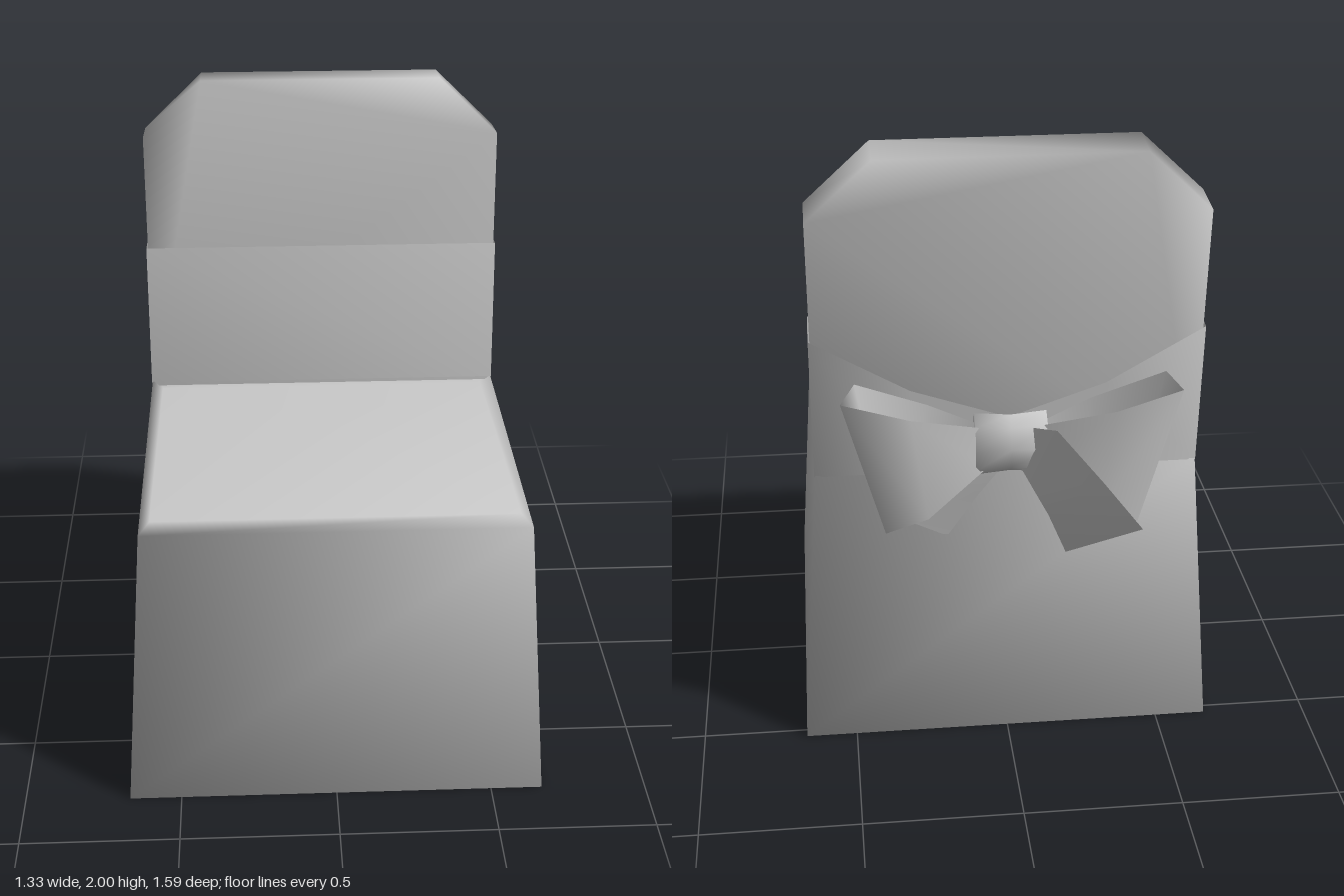
import * as THREE from 'three';
import { mergeVertices } from 'three/addons/utils/BufferGeometryUtils.js';

const solid = new THREE.MeshStandardMaterial({ color: 0xcccccc });
const cloth = new THREE.MeshStandardMaterial({ color: 0xcccccc, side: THREE.DoubleSide });

function build(points, index) {
  const g = new THREE.BufferGeometry();
  g.setAttribute('position', new THREE.Float32BufferAttribute(points.flat(), 3));
  g.setIndex(index);
  g.computeVertexNormals();
  return g;
}

// Cloth strip through pairs of [upper edge point, lower edge point]
function ribbon(pairs) {
  const index = [];
  for (let i = 0; i < pairs.length - 1; i++) {
    const a = 2 * i;
    index.push(a, a + 1, a + 2, a + 1, a + 3, a + 2);
  }
  return build(pairs.flat(), index);
}

// Four-cornered rings stacked upward, closed below and rising to a peak
function skirtGeometry() {
  const ring = (w, front, yFront, back, yBack) => [
    [-w, yFront, front], [w, yFront, front], [w, yBack, back], [-w, yBack, back]];
  const points = [
    ...ring(0.665, 0.8, 0, -0.535, 0),
    ...ring(0.6, 0.73, 0.94, -0.48, 0.94),
    ...ring(0.565, 0.7, 0.972, -0.32, 0.912),
    [0, 1.03, 0.16]];
  const index = [0, 3, 2, 0, 2, 1];
  for (let i = 0; i < 4; i++) {
    const j = (i + 1) % 4;
    for (const r of [0, 4]) index.push(r + i, r + j, r + 4 + j, r + i, r + 4 + j, r + 4 + i);
    index.push(8 + i, 8 + j, 12);
  }
  return build(points, index);
}

// Leaning panel with clipped upper corners and softly shaded edges
function backrestGeometry() {
  const shape = new THREE.Shape();
  [[-0.595, -1.08], [0.595, -1.08], [0.598, -0.19], [0.4, 0], [-0.4, 0], [-0.598, -0.19]]
    .forEach(([x, y], i) => (i ? shape.lineTo(x, y) : shape.moveTo(x, y)));
  let g = new THREE.ExtrudeGeometry(shape, { depth: 0.146, bevelEnabled: false });
  g.translate(0, 0, -0.146);
  g.rotateX(-0.097);
  g.translate(0, 2, -0.425);
  g.deleteAttribute('uv');
  g.deleteAttribute('normal');
  g = mergeVertices(g, 1e-4);
  g.computeVertexNormals();
  return g;
}

export function createModel() {
  const model = new THREE.Group();
  const add = (name, geometry, material = cloth) => {
    const mesh = new THREE.Mesh(geometry, material);
    mesh.name = name;
    model.add(mesh);
    return mesh;
  };

  add('seatCover', skirtGeometry(), solid);
  add('backrest', backrestGeometry(), solid);

  // Sash wraps the front and sides, then gathers to the middle behind
  const half = [
    [[0.602, 1.43, -0.362], [0.602, 0.94, -0.314]],
    [[0.602, 1.415, -0.527], [0.602, 0.935, -0.478]],
    [[0.3, 1.24, -0.525], [0.3, 0.95, -0.505]],
    [[0, 1.14, -0.53], [0, 1.0, -0.52]]];
  const mirror = (pairs) => pairs.map((pair) => pair.map(([x, y, z]) => [-x, y, z]));
  add('sash', ribbon([...[...half].reverse(), ...mirror(half)]));

  // Bow loops, flaring away from the knot
  const loop = [
    [[0.07, 1.14, -0.605], [0.07, 1.01, -0.605]],
    [[0.31, 1.22, -0.69], [0.26, 0.88, -0.68]],
    [[0.515, 1.265, -0.655], [0.39, 0.82, -0.65]],
    [[0.47, 1.305, -0.6], [0.37, 0.84, -0.585]],
    [[0.25, 1.2, -0.545], [0.22, 0.87, -0.54]],
    [[0.07, 1.13, -0.575], [0.07, 1.02, -0.575]]];
  add('leftBowLoop', ribbon(loop));
  add('rightBowLoop', ribbon(mirror(loop)));

  // Tails: one swings outward, one hangs against the back
  add('outerBowTail', ribbon([
    [[-0.06, 1.14, -0.61], [-0.03, 1.0, -0.6]],
    [[-0.13, 1.16, -0.68], [-0.07, 0.93, -0.63]],
    [[-0.26, 1.02, -0.757], [-0.11, 0.86, -0.655]],
    [[-0.38, 0.87, -0.79], [-0.17, 0.71, -0.63]]]));
  add('innerBowTail', ribbon([
    [[0.07, 1.12, -0.54], [0, 1.0, -0.54]],
    [[0.22, 0.96, -0.53], [0.09, 0.87, -0.515]],
    [[0.34, 0.79, -0.505], [0.19, 0.71, -0.492]]]));

  // Knot with a pinched waist
  const profile = [[0, -0.11], [0.105, -0.11], [0.095, 0], [0.105, 0.11], [0, 0.11]]
    .map(([r, y]) => new THREE.Vector2(r, y));
  const knot = add('bowKnot', new THREE.LatheGeometry(profile, 8)
    .rotateZ(Math.PI / 2).scale(1, 1, 0.55));
  knot.position.set(0, 1.075, -0.575);

  return model;
}
